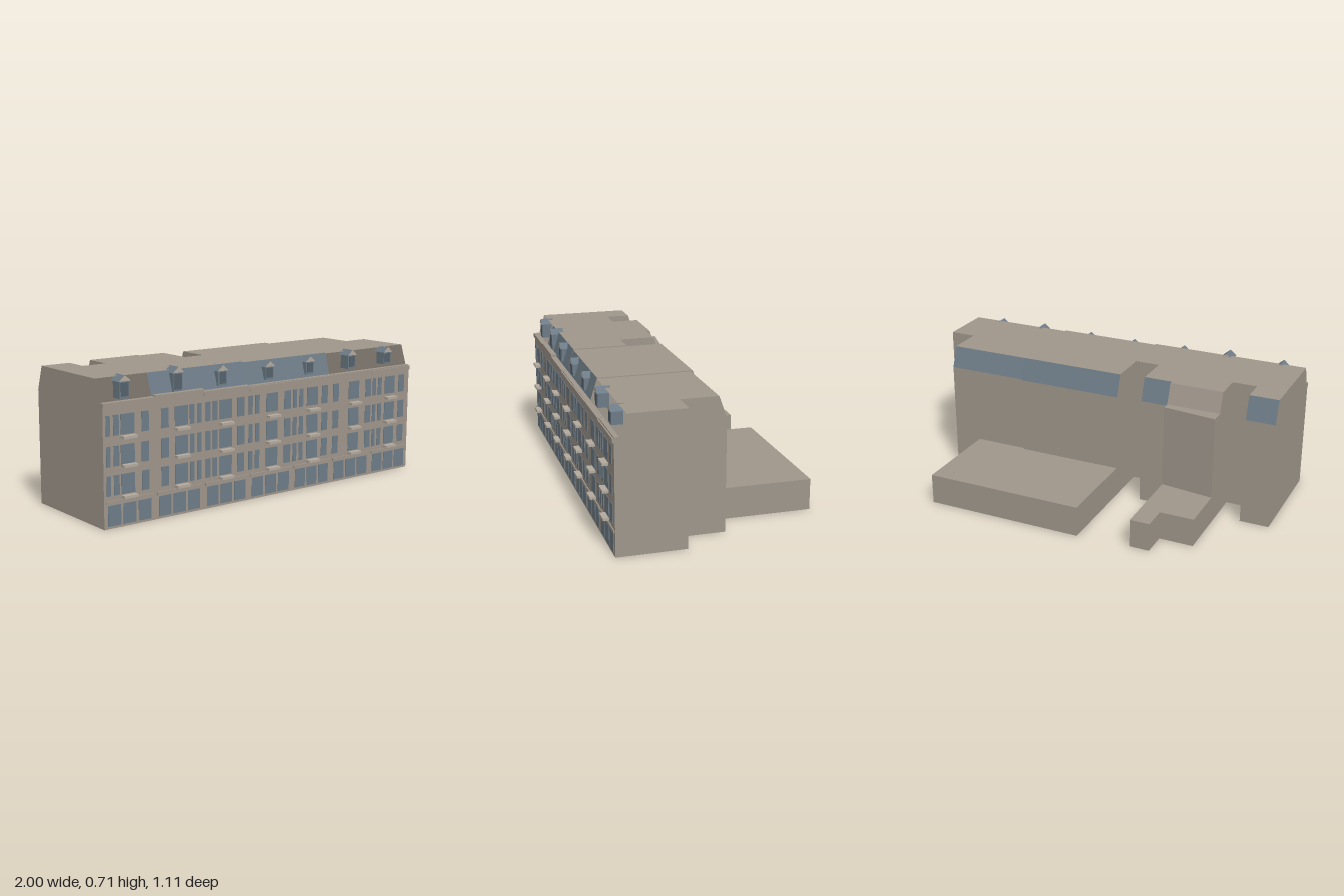
import * as THREE from 'three';

const mat = (name, color, side = THREE.FrontSide) => {
  const m = new THREE.MeshStandardMaterial({ color, side });
  m.name = name;
  return m;
};

export function createModel() {
  const root = new THREE.Group();
  root.name = 'terraceRow';
  const stone = mat('stone', 0x9f968b, THREE.DoubleSide);
  const slate = mat('slate', 0x6d7b86, THREE.DoubleSide);
  const glass = mat('glass', 0x6f7d87);
  const trim = mat('paleTrim', 0xb3aa9e);
  const darkSlate = mat('darkSlate', 0x56626c);

  const add = (parent, name, geo, material) => {
    const m = new THREE.Mesh(geo, material);
    m.name = name;
    parent.add(m);
    return m;
  };
  const group = (name) => {
    const g = new THREE.Group();
    g.name = name;
    root.add(g);
    return g;
  };
  // box given by its limits
  const box = (parent, name, x0, x1, y0, y1, z0, z1, material) => {
    const m = add(parent, name, new THREE.BoxGeometry(x1 - x0, y1 - y0, z1 - z0), material);
    m.position.set((x0 + x1) / 2, (y0 + y1) / 2, (z0 + z1) / 2);
    return m;
  };
  // strip swept along x between the points [z, y]
  const strip = (parent, name, x0, x1, pts, material) => {
    const pos = [], idx = [];
    for (let i = 0; i < pts.length - 1; i++) {
      const [za, ya] = pts[i], [zb, yb] = pts[i + 1], k = i * 4;
      pos.push(x0, ya, za, x1, ya, za, x1, yb, zb, x0, yb, zb);
      idx.push(k, k + 1, k + 2, k, k + 2, k + 3);
    }
    const g = new THREE.BufferGeometry();
    g.setAttribute('position', new THREE.Float32BufferAttribute(pos, 3));
    g.setIndex(idx);
    g.computeVertexNormals();
    return add(parent, name, g, material);
  };
  // upright prism from a plan outline [x, z]
  const prism = (parent, name, plan, y0, y1, material) => {
    const s = new THREE.Shape(plan.map(([x, z]) => new THREE.Vector2(x, -z)));
    const g = new THREE.ExtrudeGeometry(s, { depth: y1 - y0, bevelEnabled: false });
    g.rotateX(-Math.PI / 2).translate(0, y0, 0);
    return add(parent, name, g, material);
  };

  // Main hollow sections: x0, x1, back z, roof height, rear slope material, slated front
  const sections = [
    [-1, -0.845, -0.055, 0.695, slate, false],
    [-0.845, -0.715, 0.11, 0.695, null, false],
    [-0.715, -0.43, -0.075, 0.695, stone, true],
    [-0.43, -0.28, -0.055, 0.695, slate, true],
    [-0.28, -0.145, 0.175, 0.695, null, true],
    [-0.145, 0.42, -0.065, 0.69, slate, true],
    [0.42, 0.86, -0.055, 0.685, slate, false],
    [0.86, 1, 0.175, 0.685, null, false],
  ];
  const eaves = [0.5, 0.58];
  for (const [x0, x1, back, h, rear, slated] of sections) {
    const g = group('houseSection');
    const ridge = [0.465, h];
    const rearPts = rear ? [[back + 0.04, h], [back, 0.575]] : [[back, h]];
    const low = rearPts[rearPts.length - 1];
    strip(g, 'roofTop', x0, x1, [ridge, rearPts[0]], stone);
    if (rear) strip(g, 'rearRoofSlope', x0, x1, rearPts, rear);
    strip(g, 'rearWall', x0, x1, [low, [back, 0]], stone);
    strip(g, 'floor', x0, x1, [[back, 0], [0.525, 0]], stone);
    strip(g, 'frontWall', x0, x1, [[0.525, 0], [0.525, 0.58], eaves], stone);
    if (slated) strip(g, 'frontRoofSlope', x0, x1, [eaves, ridge], slate);
    // end walls
    const outline = [[back, 0], [0.525, 0], [0.525, 0.58], eaves, ridge, ...rearPts];
    const shape = new THREE.Shape(outline.map(([z, y]) => new THREE.Vector2(-z, y)));
    for (const x of [x0, x1]) {
      add(g, 'endWall', new THREE.ShapeGeometry(shape).rotateY(Math.PI / 2), stone).position.x = x;
    }
  }

  // Rear extensions
  const ext = group('rearExtensions');
  box(ext, 'wideLowBlock', -0.145, 0.71, 0, 0.162, -0.555, -0.05, stone);
  prism(ext, 'tallWing', [[-0.715, -0.05], [-0.43, -0.05], [-0.43, -0.112], [-0.715, -0.145]], 0, 0.59, stone);
  prism(ext, 'lowWing', [[-0.715, -0.07], [-0.43, -0.07], [-0.43, -0.535], [-0.535, -0.535],
    [-0.535, -0.4], [-0.715, -0.4]], 0, 0.15, stone);

  // Upper windows, the same columns on three floors
  const windows = group('windows');
  const columns = [
    [-0.985, -0.963], [-0.945, -0.915], [-0.905, -0.83], [-0.79, -0.75],
    [-0.68, -0.637], [-0.6, -0.525], [-0.512, -0.487], [-0.47, -0.445],
    [-0.417, -0.39], [-0.374, -0.348], [-0.332, -0.257], [-0.222, -0.178],
    [-0.15, -0.125], [-0.107, -0.08], [-0.035, 0.04], [0.085, 0.128],
    [0.145, 0.17], [0.187, 0.213], [0.24, 0.315], [0.345, 0.385],
    [0.425, 0.465], [0.54, 0.615], [0.665, 0.705],
    [0.72, 0.743], [0.76, 0.787], [0.813, 0.888], [0.92, 0.963],
  ];
  for (const y of [0.155, 0.292, 0.435]) {
    for (const [a, b] of columns) box(windows, 'window', a, b, y, y + 0.095, 0.524, 0.528, glass);
  }

  // Shopfronts, fascias and cornices, house by house
  const edges = [-1, -0.715, -0.43, -0.145, 0.145, 0.42, 0.71, 1];
  const cornice = [0.583, 0.59, 0.578, 0.57, 0.572, 0.575, 0.568];
  const street = group('streetFront');
  for (let i = 0; i < 7; i++) {
    const a = edges[i], b = edges[i + 1], w = (b - a - 0.03) / 3;
    for (let k = 0; k < 3; k++) {
      const x = a + 0.02 + k * w;
      box(street, 'shopWindow', x, x + w - 0.014, 0.012, 0.11, 0.524, 0.528, glass);
    }
    box(street, 'shopFascia', a + 0.01, b - 0.01, 0.116, 0.132, 0.52, 0.531, stone);
    box(street, 'cornice', a, b, cornice[i] - 0.016, cornice[i] + 0.006, 0.503, 0.533, stone);
  }

  // Balconies and dormers share the seven house axes
  const axes = [-0.867, -0.565, -0.298, 0.002, 0.276, 0.577, 0.848];
  const balconies = group('balconies');
  const dormers = group('dormers');
  axes.forEach((x, i) => {
    const lift = i < 2 ? 0.01 : 0;
    for (const y of [0.137, 0.273 + lift, 0.407 + lift]) {
      box(balconies, 'balcony', x - 0.038, x + 0.038, y, y + 0.013, 0.525, 0.555, trim);
    }
    const top = [0.675, 0.685, 0.668, 0.66, 0.66, 0.667, 0.66][i];
    box(dormers, 'dormerBody', x - 0.027, x + 0.027, 0.595, top, 0.45, 0.505, slate);
    box(dormers, 'dormerWindow', x - 0.02, x + 0.02, 0.605, top - 0.006, 0.505, 0.508, darkSlate);
    const gable = new THREE.Shape([new THREE.Vector2(-0.034, 0), new THREE.Vector2(0.034, 0), new THREE.Vector2(0, 0.028)]);
    const roof = new THREE.ExtrudeGeometry(gable, { depth: 0.07, bevelEnabled: false });
    add(dormers, 'dormerRoof', roof, [trim, slate]).position.set(x, top, 0.44);
  });
  return root;
}
